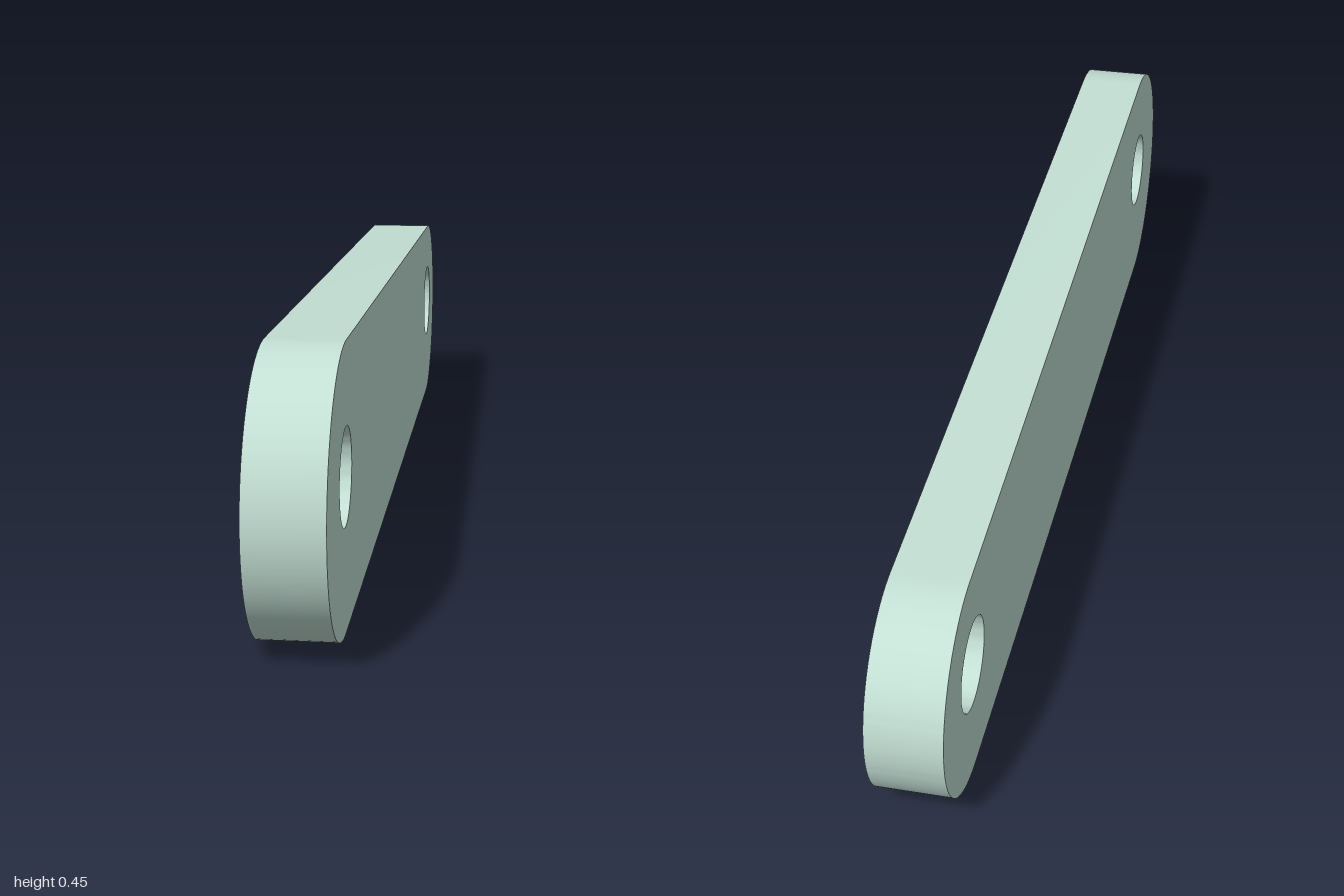
import * as THREE from 'three';
import { toCreasedNormals } from 'three/addons/utils/BufferGeometryUtils.js';

const THICKNESS = 0.122;
const HOLE_RADIUS = 0.077;
// Rounded ends: u runs along the bar towards the back (u = -z)
const FRONT = { u: -0.773, r: 0.227, holeY: 0.247 };
const BACK = { u: 0.81, r: 0.19, holeY: 0.21 };

export function createModel() {
  const group = new THREE.Group();
  group.name = 'linkArm';

  // Tapered outline: two end arcs joined by a flat base and a sloping top tangent
  const slope = 2 * Math.atan((FRONT.r - BACK.r) / (BACK.u - FRONT.u));
  const topAngle = Math.PI / 2 - slope;
  const outline = new THREE.Shape();
  outline.moveTo(FRONT.u, 0);
  outline.lineTo(BACK.u, 0);
  outline.absarc(BACK.u, BACK.r, BACK.r, -Math.PI / 2, topAngle, false);
  outline.absarc(FRONT.u, FRONT.r, FRONT.r, topAngle, Math.PI * 1.5, false);

  // Pin holes
  for (const end of [FRONT, BACK]) {
    const hole = new THREE.Path();
    hole.absarc(end.u, end.holeY, HOLE_RADIUS, 0, Math.PI * 2, true);
    outline.holes.push(hole);
  }

  // Plate, turned so its length lies along z
  const plate = new THREE.ExtrudeGeometry(outline, { depth: THICKNESS, bevelEnabled: false, curveSegments: 32 });
  plate.translate(0, 0, -THICKNESS / 2);
  plate.rotateY(Math.PI / 2);

  const material = new THREE.MeshStandardMaterial({ color: 0xc3dfd4 });
  const mesh = new THREE.Mesh(toCreasedNormals(plate, Math.PI / 6), material);
  mesh.name = 'taperedPlate';
  group.add(mesh);
  return group;
}
